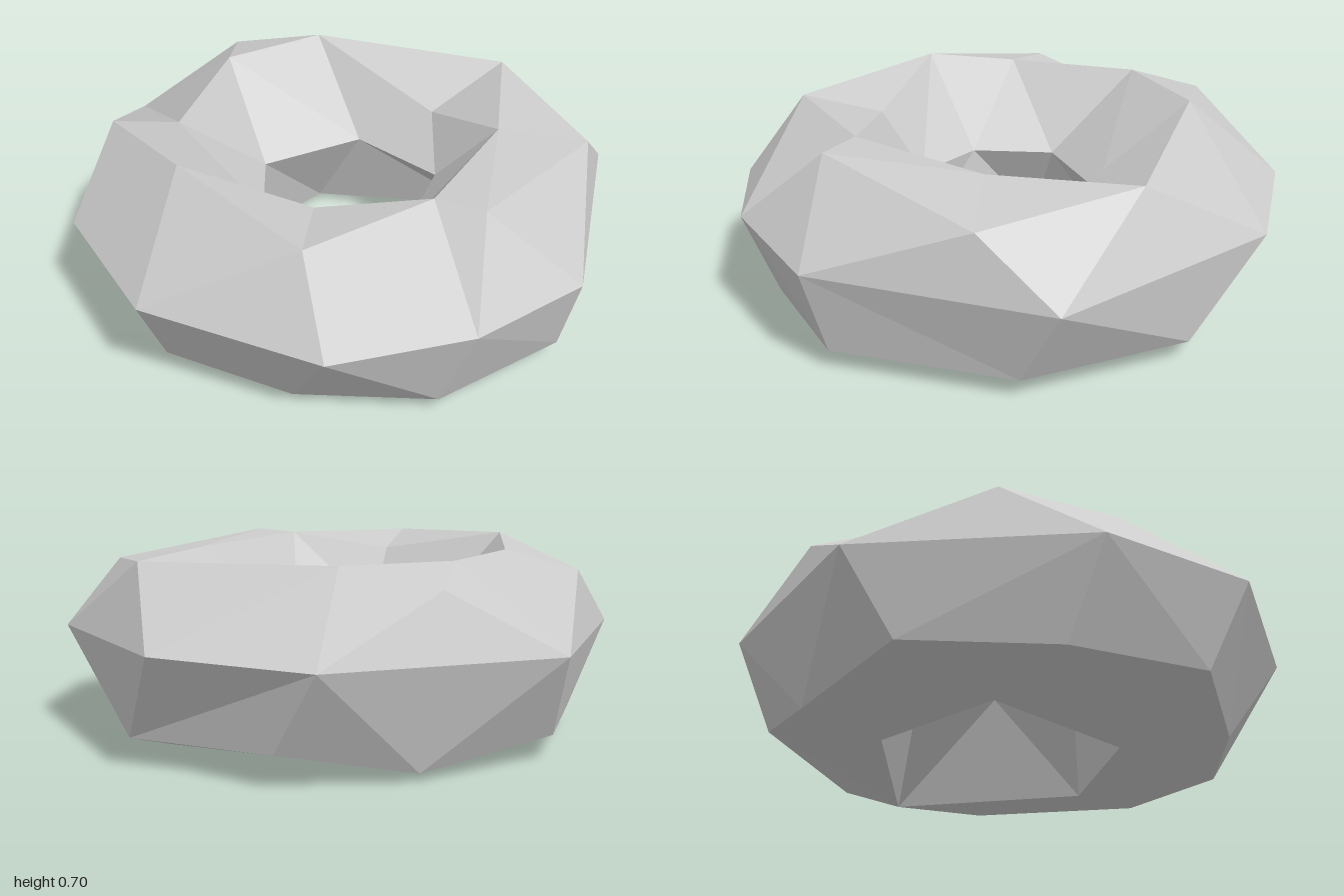
import * as THREE from 'three';

// Rings of [x, y, z], each running from the front towards the model's left and around.
const outer = [[0.13, 0.38, 1], [0.59, 0.41, 0.81], [0.91, 0.39, 0.45], [0.95, 0.385, -0.43], [0.28, 0.42, -1],
  [-0.3, 0.41, -1], [-0.95, 0.4, -0.43], [-0.93, 0.385, 0.42], [-0.53, 0.4, 0.87]];

// Corners shared by the outer and inner edges of the top
const frontLeft = [0.39, 0.675, 0.44];
const back = [-0.24, 0.69, -0.66];
const backRight = [-0.55, 0.69, -0.39];
const right = [-0.6, 0.675, 0.12];
const frontRight = [-0.5, 0.705, 0.45];

const topOuter = [[0.02, 0.67, 0.8], frontLeft, [0.57, 0.68, 0.49], [0.89, 0.61, -0.14], [0.53, 0.665, -0.61],
  back, [-0.59, 0.63, -0.65], backRight, right, [-0.88, 0.62, 0.07], frontRight];
const topInner = [[-0.01, 0.62, 0.49], frontLeft, [0.56, 0.66, -0.08], [0.28, 0.54, -0.37],
  back, backRight, right, frontRight];
const hole = [[-0.01, 0.385, 0.33], [0.27, 0.385, 0.2], [0.33, 0.4, -0.13], [-0.01, 0.385, -0.36],
  [-0.34, 0.38, -0.11], [-0.27, 0.385, 0.2]];
const bottomInner = [[0.02, 0.04, 0.39], [0.54, 0.04, 0.19], [0.46, 0, -0.55], [-0.2, 0.03, -0.46], [-0.5, 0.03, 0]];
const bottomOuter = [[-0.03, 0.04, 0.79], [0.47, 0.06, 0.74], [0.85, 0.08, 0.39], [0.86, 0.08, -0.28],
  [0.48, 0.08, -0.78], [-0.12, 0.12, -0.92], [-0.52, 0.03, -0.66], [-0.87, 0.09, -0.26],
  [-0.82, 0.06, 0.28], [-0.5, 0.09, 0.72]];

// Joins two rings with triangles; each letter says which ring steps on next.
function stitch(out, a, b, steps) {
  let i = 0, j = 0;
  for (const step of steps) {
    const p = a[i % a.length], q = b[j % b.length];
    const next = step === 'a' ? a[++i % a.length] : b[++j % b.length];
    // shared corners give empty triangles, which are left out
    if (p !== q && next !== p && next !== q) out.push(...p, ...next, ...q);
  }
}

export function createModel() {
  const positions = [];
  stitch(positions, outer, topOuter, 'abbabababababbbababa');
  stitch(positions, topOuter, topInner, 'ababaababaababaabab');
  stitch(positions, topInner, hole, 'abababaabababa');
  stitch(positions, hole, bottomInner, 'abababababa');
  stitch(positions, bottomInner, bottomOuter, 'babbabbabbabbab');
  stitch(positions, bottomOuter, outer, 'ababababbaababaabab');

  const geometry = new THREE.BufferGeometry();
  geometry.setAttribute('position', new THREE.Float32BufferAttribute(positions, 3));
  geometry.computeVertexNormals();

  const stone = new THREE.MeshStandardMaterial({ color: 0xcccccc });
  stone.name = 'light grey';
  stone.flatShading = true;

  const ring = new THREE.Mesh(geometry, stone);
  ring.name = 'facetedRing';
  const group = new THREE.Group();
  group.name = 'lowPolyRing';
  group.add(ring);
  return group;
}
